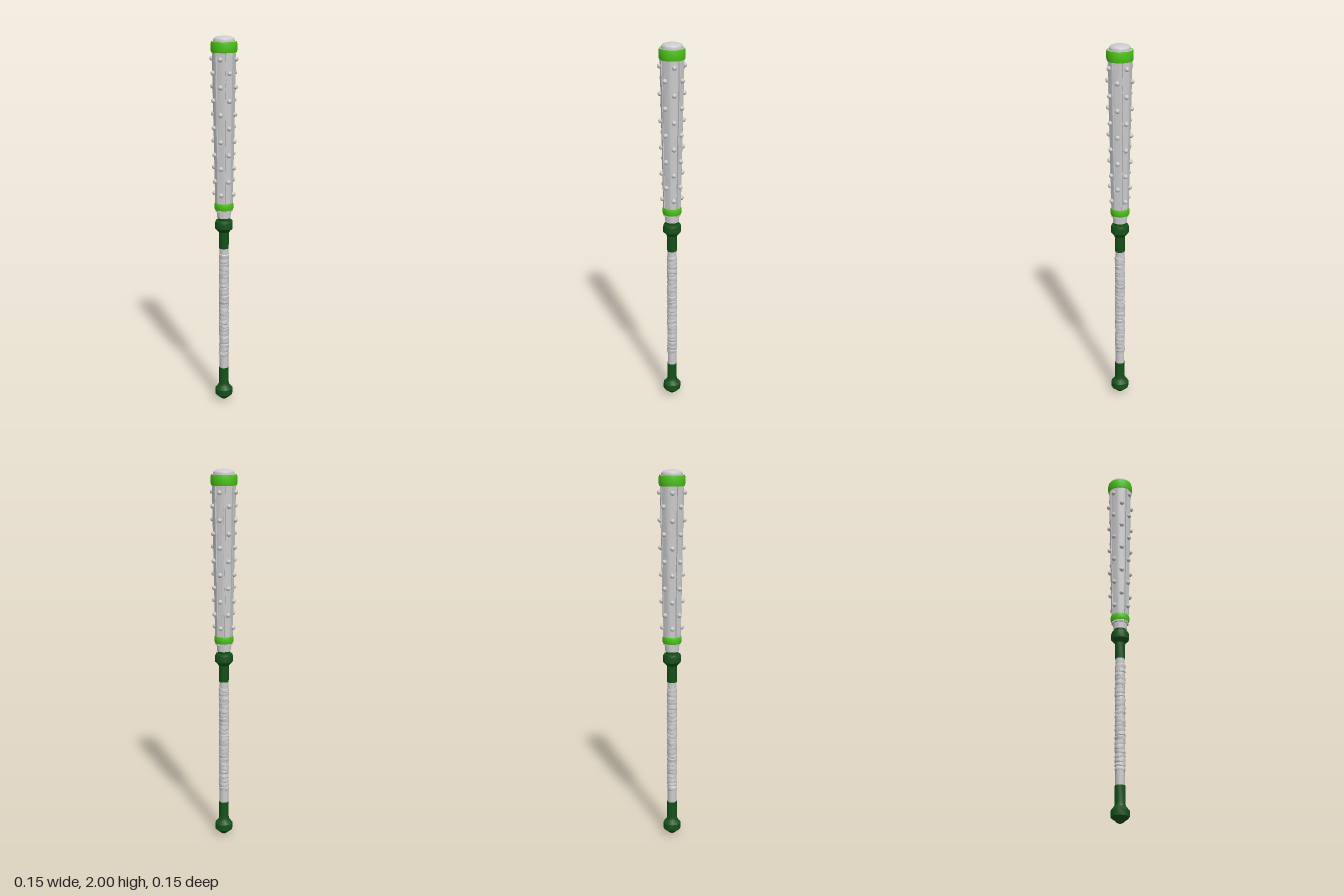
import * as THREE from 'three';
import { toCreasedNormals } from 'three/addons/utils/BufferGeometryUtils.js';

const grey = new THREE.MeshStandardMaterial({ color: 0xcccccc });
const darkGreen = new THREE.MeshStandardMaterial({ color: 0x14501a });
const brightGreen = new THREE.MeshStandardMaterial({ color: 0x4cc417 });

function seeded(seed) {
  return () => (seed = (seed * 16807) % 2147483647) / 2147483647;
}

function addMesh(parent, name, geometry, material) {
  const mesh = new THREE.Mesh(geometry, material);
  mesh.name = name;
  parent.add(mesh);
  return mesh;
}

// Turned part from [radius, height] pairs, with sharp steps kept crisp
function turned(points, sides) {
  const lathe = new THREE.LatheGeometry(points.map(([r, y]) => new THREE.Vector2(r, y)), sides);
  return toCreasedNormals(lathe, 0.55);
}

// Outer barrel radius, widening towards the top
const barrelRadius = (y) => THREE.MathUtils.mapLinear(y, 1.09, 1.97, 0.046, 0.063);

// Curved stave with slightly ragged side edges, lofted upwards
function staveGeometry(seed) {
  const rand = seeded(seed);
  const levels = 15, arc = 5, ring = arc * 2;
  const pos = [], index = [];
  for (let l = 0; l < levels; l++) {
    const y = THREE.MathUtils.lerp(1.085, 1.972, l / (levels - 1));
    const ragged = l > 1 && l < levels - 2 ? 0.045 : 0;
    const from = -0.32 + (rand() - 0.5) * ragged * 2;
    const to = 0.32 + (rand() - 0.5) * ragged * 2;
    for (let k = 0; k < ring; k++) {
      const outer = k < arc;
      const a = THREE.MathUtils.lerp(from, to, (outer ? k : ring - 1 - k) / (arc - 1));
      const r = barrelRadius(y) - (outer ? 0 : 0.011);
      pos.push(r * Math.sin(a), y, r * Math.cos(a));
    }
  }
  for (let l = 0; l < levels - 1; l++) {
    for (let k = 0; k < ring; k++) {
      const a = l * ring + k, b = l * ring + (k + 1) % ring;
      index.push(a, b, b + ring, a, b + ring, a + ring);
    }
  }
  // End caps join the outer arc to the inner arc
  const top = (levels - 1) * ring;
  for (let k = 0; k < arc - 1; k++) {
    const k2 = ring - 1 - k;
    index.push(top + k, top + k + 1, top + k2, top + k + 1, top + k2 - 1, top + k2);
    index.push(k, k2, k + 1, k + 1, k2, k2 - 1);
  }
  const g = new THREE.BufferGeometry();
  g.setAttribute('position', new THREE.Float32BufferAttribute(pos, 3));
  g.setIndex(index);
  return toCreasedNormals(g, 0.6);
}

// Hollow band with bevelled rims
function bandGeometry(y0, y1, rIn, rOut) {
  const b = (y1 - y0) * 0.2, c = (rOut - rIn) * 0.4;
  return turned([[rIn, y1], [rIn, y0], [rOut - c, y0], [rOut, y0 + b],
    [rOut, y1 - b], [rOut - c, y1], [rIn, y1]], 20);
}

export function createModel() {
  const model = new THREE.Group();
  model.name = 'studdedBat';

  // Barrel core with domed end
  const barrel = new THREE.Group();
  barrel.name = 'barrel';
  model.add(barrel);
  addMesh(barrel, 'core', turned([[0, 1.05], [0.036, 1.05], [0.037, 1.1], [0.054, 1.96],
    [0.055, 1.978], [0.053, 1.986], [0.047, 1.992], [0.036, 1.996], [0.019, 1.999], [0, 2]], 32), grey);

  // Eight staves, each with a column of studs in alternating rows
  const stud = new THREE.SphereGeometry(0.0125, 12, 8);
  for (let i = 0; i < 8; i++) {
    const side = new THREE.Group();
    side.name = 'staveWithStuds';
    side.rotation.y = i * Math.PI / 4;
    barrel.add(side);
    addMesh(side, 'stave', staveGeometry(101 + i * 977), grey);
    const odd = i % 2;
    for (let k = 0; k < 6 - odd; k++) {
      const y = 1.885 - odd * 0.07 - k * 0.141;
      addMesh(side, 'stud', stud, grey).position.set(0, y, barrelRadius(y) + 0.003);
    }
  }

  // Bright bands
  addMesh(barrel, 'topBand', bandGeometry(1.918, 1.972, 0.062, 0.068), brightGreen);
  addMesh(barrel, 'lowerBand', bandGeometry(1.095, 1.132, 0.044, 0.05), brightGreen);

  // Collar between barrel and handle
  addMesh(model, 'collar', turned([[0, 0.88], [0.026, 0.88], [0.028, 0.97], [0.036, 0.98],
    [0.048, 0.992], [0.048, 1.024], [0.044, 1.035], [0.033, 1.038], [0.033, 1.07], [0, 1.07]], 12), darkGreen);

  // Handle shaft
  addMesh(model, 'handle', new THREE.CylinderGeometry(0.024, 0.024, 0.74, 20).translate(0, 0.53, 0), grey);

  // Grip wrapping: flattened, unevenly tilted loops
  const grip = new THREE.Group();
  grip.name = 'gripWrap';
  model.add(grip);
  const rand = seeded(4242);
  const loop = turned([[0.022, -0.017], [0.0255, -0.013], [0.0275, 0],
    [0.0255, 0.013], [0.022, 0.017]], 20);
  const count = 25;
  for (let i = 0; i < count; i++) {
    const wrap = addMesh(grip, 'wrapLoop', loop, grey);
    wrap.position.set((rand() - 0.5) * 0.002, 0.275 + i * 0.56 / (count - 1), (rand() - 0.5) * 0.002);
    wrap.rotation.set((rand() - 0.5) * 0.5, rand() * 6, 0.12 + rand() * 0.25);
  }

  // Pommel and its sleeve
  addMesh(model, 'pommel', turned([[0, 0], [0.016, 0.006], [0.032, 0.02], [0.038, 0.024],
    [0.048, 0.034], [0.048, 0.066], [0.038, 0.078], [0.03, 0.088], [0.027, 0.1],
    [0.027, 0.192], [0, 0.192]], 12), darkGreen);

  return model;
}
